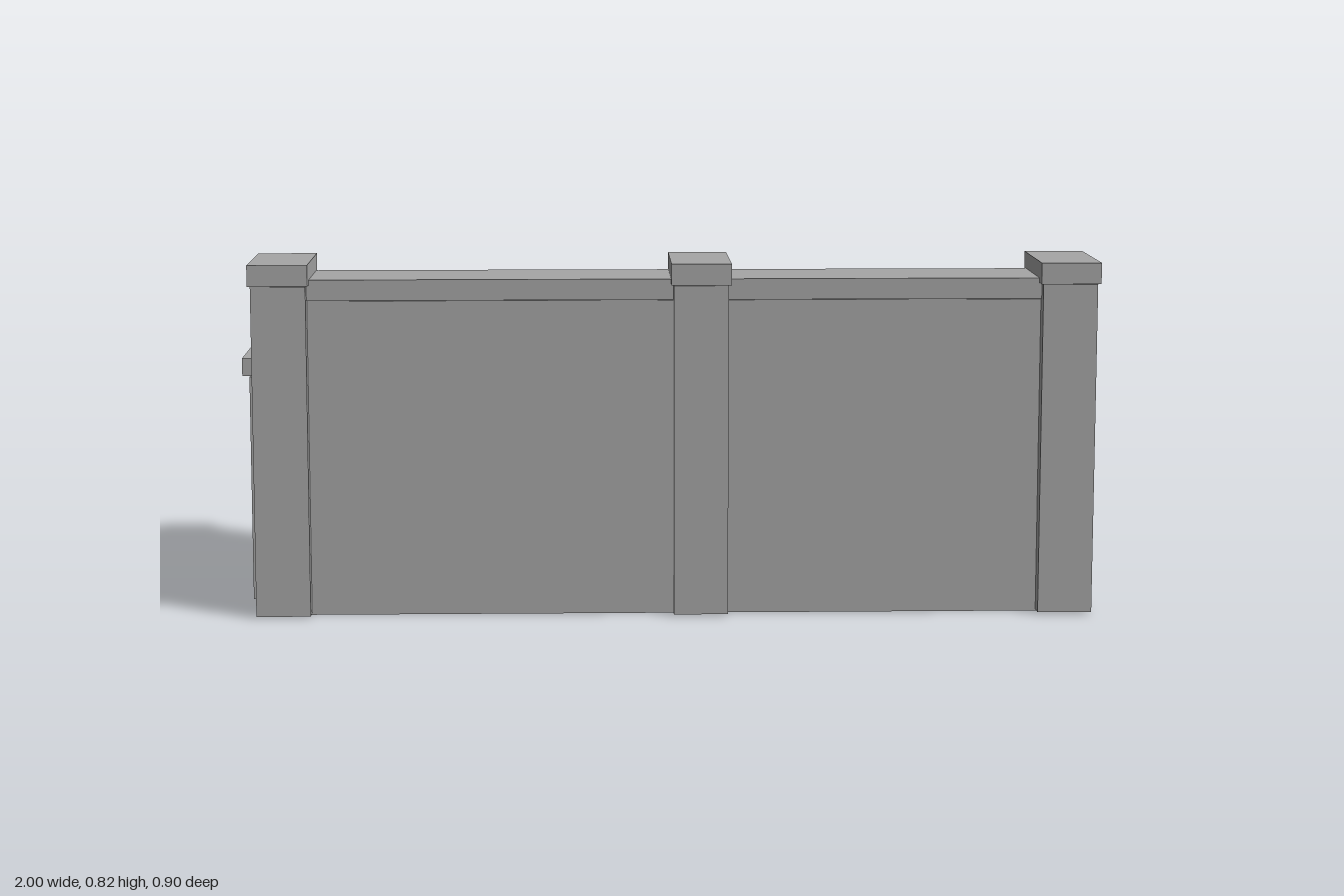
import * as THREE from 'three';

export function createModel() {
  const group = new THREE.Group();
  const stone = new THREE.MeshStandardMaterial({ color: 0xa6a6a6 });
  stone.name = 'grey stone';

  // Adds a box spanning the given [min, max] ranges
  function addBlock(name, [x0, x1], [y0, y1], [z0, z1]) {
    const mesh = new THREE.Mesh(new THREE.BoxGeometry(x1 - x0, y1 - y0, z1 - z0), stone);
    mesh.position.set((x0 + x1) / 2, (y0 + y1) / 2, (z0 + z1) / 2);
    mesh.name = name;
    group.add(mesh);
  }

  // Long front wall with its overhanging coping
  addBlock('frontWall', [-0.94, 0.94], [0, 0.737], [0.222, 0.4]);
  addBlock('frontCoping', [-0.94, 0.94], [0.739, 0.787], [0.197, 0.411]);

  // Lower return wall running back from the right-hand end
  addBlock('returnWall', [-0.984, -0.82], [0, 0.537], [-0.437, 0.223]);
  addBlock('returnCoping', [-1, -0.805], [0.54, 0.582], [-0.448, 0.23]);

  // Three pillars, each with a flat cap
  for (const x of [-0.893, 0.077, 0.928]) {
    addBlock('pillar', [x - 0.063, x + 0.063], [0.004, 0.774], [0.183, 0.438]);
    addBlock('pillarCap', [x - 0.069, x + 0.069], [0.776, 0.825], [0.172, 0.448]);
  }

  return group;
}
